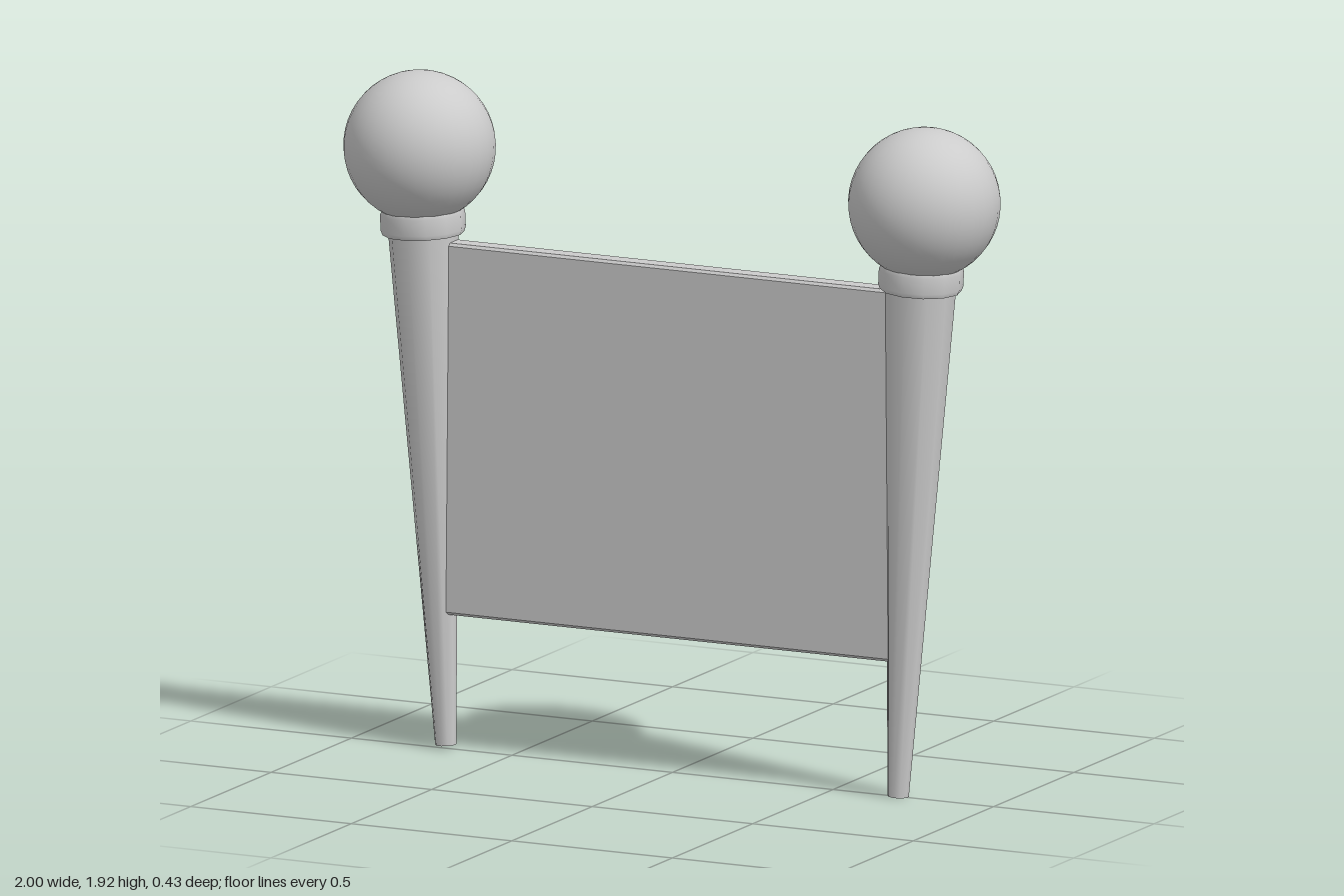
import * as THREE from 'three';

const material = new THREE.MeshStandardMaterial({ color: 0xcccccc });

function lathe(name, points, sides) {
  const profile = points.map(([r, y]) => new THREE.Vector2(r, y));
  const mesh = new THREE.Mesh(new THREE.LatheGeometry(profile, sides), material);
  mesh.name = name;
  return mesh;
}

// Tapered post with a collar and a ball finial, standing on its local origin
function createPost(name) {
  const post = new THREE.Group();
  post.name = name;

  const shaft = new THREE.Mesh(new THREE.CylinderGeometry(0.1, 0.03, 1.46, 10), material);
  shaft.name = 'shaft';
  shaft.position.y = 0.73;

  const collar = lathe('collar', [
    [0.09, 1.45], [0.09, 1.45], [0.114, 1.452], [0.114, 1.452], [0.119, 1.465],
    [0.119, 1.51], [0.112, 1.525], [0.112, 1.525], [0.08, 1.53],
  ], 12);

  const ball = new THREE.Mesh(new THREE.SphereGeometry(0.213, 32, 24), material);
  ball.name = 'ball';
  ball.position.y = 1.7;

  post.add(shaft, collar, ball);
  return post;
}

// Panel skinned over rectangular loops: chamfered edges, flat front, recessed back
function createPanel(halfWidth, halfHeight) {
  const loops = [ // [inset, z]
    [0.008, 0.031], [0, 0.024], [0, -0.026], [0.008, -0.034], [0.045, -0.034], [0.052, -0.012],
  ];
  const corners = loops.map(([inset, z]) => {
    const w = halfWidth - inset, h = halfHeight - inset;
    return [[-w, -h, z], [w, -h, z], [w, h, z], [-w, h, z]];
  });
  const positions = [];
  const quad = (a, b, c, d) => positions.push(...a, ...b, ...c, ...a, ...c, ...d);

  quad(...corners[0]);
  for (let i = 0; i < corners.length - 1; i++) {
    for (let j = 0; j < 4; j++) {
      const k = (j + 1) % 4;
      quad(corners[i][j], corners[i + 1][j], corners[i + 1][k], corners[i][k]);
    }
  }
  quad(...corners[corners.length - 1].slice().reverse());

  const geometry = new THREE.BufferGeometry();
  geometry.setAttribute('position', new THREE.Float32BufferAttribute(positions, 3));
  geometry.computeVertexNormals();
  const panel = new THREE.Mesh(geometry, material);
  panel.name = 'panel';
  return panel;
}

export function createModel() {
  const model = new THREE.Group();
  model.name = 'signBoard';

  // Posts lean slightly outward; the right one stands a touch higher
  const leftPost = createPost('leftPost');
  leftPost.position.set(0.703, 0.004, 0);
  leftPost.rotation.z = -0.048;

  const rightPost = createPost('rightPost');
  rightPost.position.set(-0.706, 0.014, 0);
  rightPost.rotation.z = 0.048;

  const panel = createPanel(0.7, 0.53);
  panel.position.y = 0.92;

  model.add(leftPost, rightPost, panel);
  return model;
}
